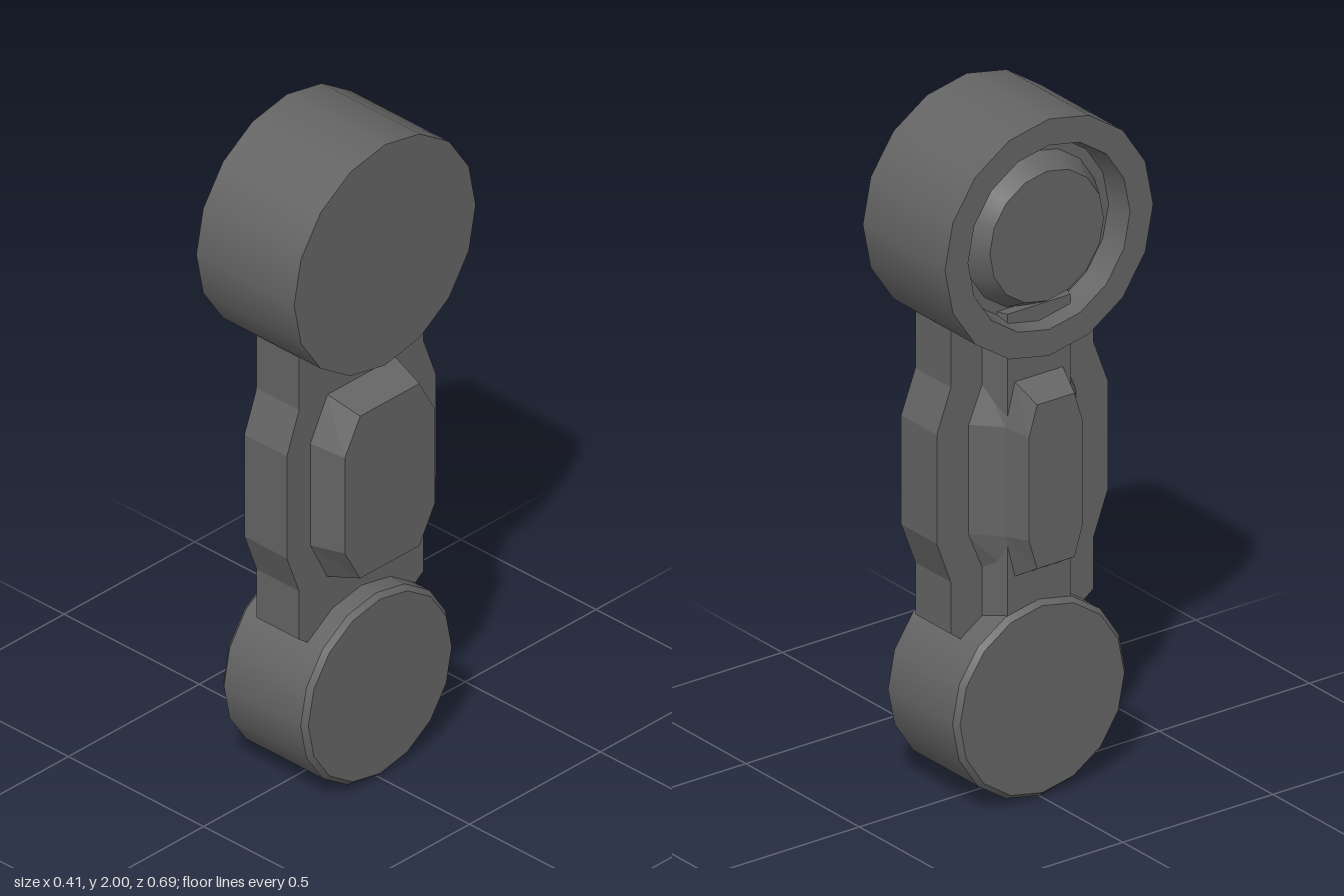
import * as THREE from 'three';
import { mergeGeometries } from 'three/addons/utils/BufferGeometryUtils.js';

const smooth = new THREE.MeshStandardMaterial({ color: 0x646464 });
const faceted = new THREE.MeshStandardMaterial({ color: 0x646464, flatShading: true });

// Turned part about the x axis; profile is [radius, x] running from -x to +x.
// Each profile step is its own band, so rims stay sharp and the rounds smooth.
function turned(name, profile, y) {
  const points = profile.map(([r, x]) => new THREE.Vector2(r, x));
  const bands = points.slice(1).map((p, i) => new THREE.LatheGeometry([points[i], p], 16));
  const geo = mergeGeometries(bands);
  geo.rotateZ(-Math.PI / 2);
  const mesh = new THREE.Mesh(geo, smooth);
  mesh.position.y = y;
  mesh.name = name;
  return mesh;
}

// Mirrors half an outline ([halfDepth, y] from bottom to top) into a closed loop.
function mirrored(half) {
  return [...half, ...half.map(([u, y]) => [-u, y]).reverse()];
}

// Solid lofted along x through rings { x, half }, ordered from -x to +x, with both ends capped.
function loft(name, rings) {
  const loops = rings.map(({ x, half }) => mirrored(half).map(([u, y]) => [x, y, -u]));
  const pos = [];
  const tri = (a, b, c) => pos.push(...a, ...b, ...c);
  const n = loops[0].length;
  for (let k = 0; k < loops.length - 1; k++) {
    for (let i = 0; i < n; i++) {
      const j = (i + 1) % n, a = loops[k], b = loops[k + 1];
      tri(a[i], a[j], b[j]);
      tri(a[i], b[j], b[i]);
    }
  }
  const cap = (loop, front) => {
    const ys = loop.map((p) => p[1]);
    const centre = [loop[0][0], (Math.min(...ys) + Math.max(...ys)) / 2, 0];
    for (let i = 0; i < n; i++) {
      const j = (i + 1) % n;
      if (front) tri(centre, loop[i], loop[j]);
      else tri(centre, loop[j], loop[i]);
    }
  };
  cap(loops[0], false);
  cap(loops[loops.length - 1], true);
  const geo = new THREE.BufferGeometry();
  geo.setAttribute('position', new THREE.Float32BufferAttribute(pos, 3));
  geo.computeVertexNormals();
  const mesh = new THREE.Mesh(geo, faceted);
  mesh.name = name;
  return mesh;
}

// Half of an elongated octagon: narrow ends, wide straight sides.
const octagon = (end, side, y0, y1, y2, y3) => [[end, y0], [side, y1], [side, y2], [end, y3]];
const strip = (w, y0, y1) => [[w, y0], [w, y1]];

export function createModel() {
  const group = new THREE.Group();
  group.name = 'linkArm';

  // Upper joint, with a recess and tapered central boss on its -x face
  group.add(turned('upperJoint', [
    [0, -0.165], [0.19, -0.165], [0.225, -0.1], [0.255, -0.1],
    [0.27, -0.175], [0.347, -0.175], [0.347, 0.187], [0, 0.187],
  ], 1.653));

  // Lower joint with bevelled rims
  group.add(turned('lowerJoint', [
    [0, -0.145], [0.274, -0.145], [0.288, -0.13],
    [0.288, 0.154], [0.274, 0.169], [0, 0.169],
  ], 0.288));

  // Central plate, widened in the middle
  const plate = [
    [0.2, 0.485], [0.238, 0.513], [0.238, 0.665], [0.285, 0.79],
    [0.285, 1.11], [0.238, 1.235], [0.238, 1.405],
  ];
  group.add(loft('centralPlate', [{ x: -0.057, half: plate }, { x: 0.1, half: plate }]));

  // Raised panel on the +x side
  group.add(loft('leftPanel', [
    { x: 0.1, half: octagon(0.13, 0.195, 0.662, 0.79, 1.11, 1.235) },
    { x: 0.205, half: octagon(0.113, 0.172, 0.695, 0.8, 1.1, 1.205) },
  ]));

  // Tapered rib running between the joints on the -x side
  group.add(loft('rightRib', [
    { x: -0.13, half: strip(0.105, 0.45, 1.44) },
    { x: -0.05, half: strip(0.137, 0.45, 1.44) },
  ]));

  // Raised panel over the rib
  group.add(loft('rightPanel', [
    { x: -0.205, half: octagon(0.062, 0.09, 0.71, 0.8, 1.1, 1.19) },
    { x: -0.13, half: octagon(0.08, 0.112, 0.665, 0.79, 1.11, 1.235) },
    { x: -0.05, half: octagon(0.13, 0.185, 0.66, 0.79, 1.11, 1.24) },
  ]));

  return group;
}
